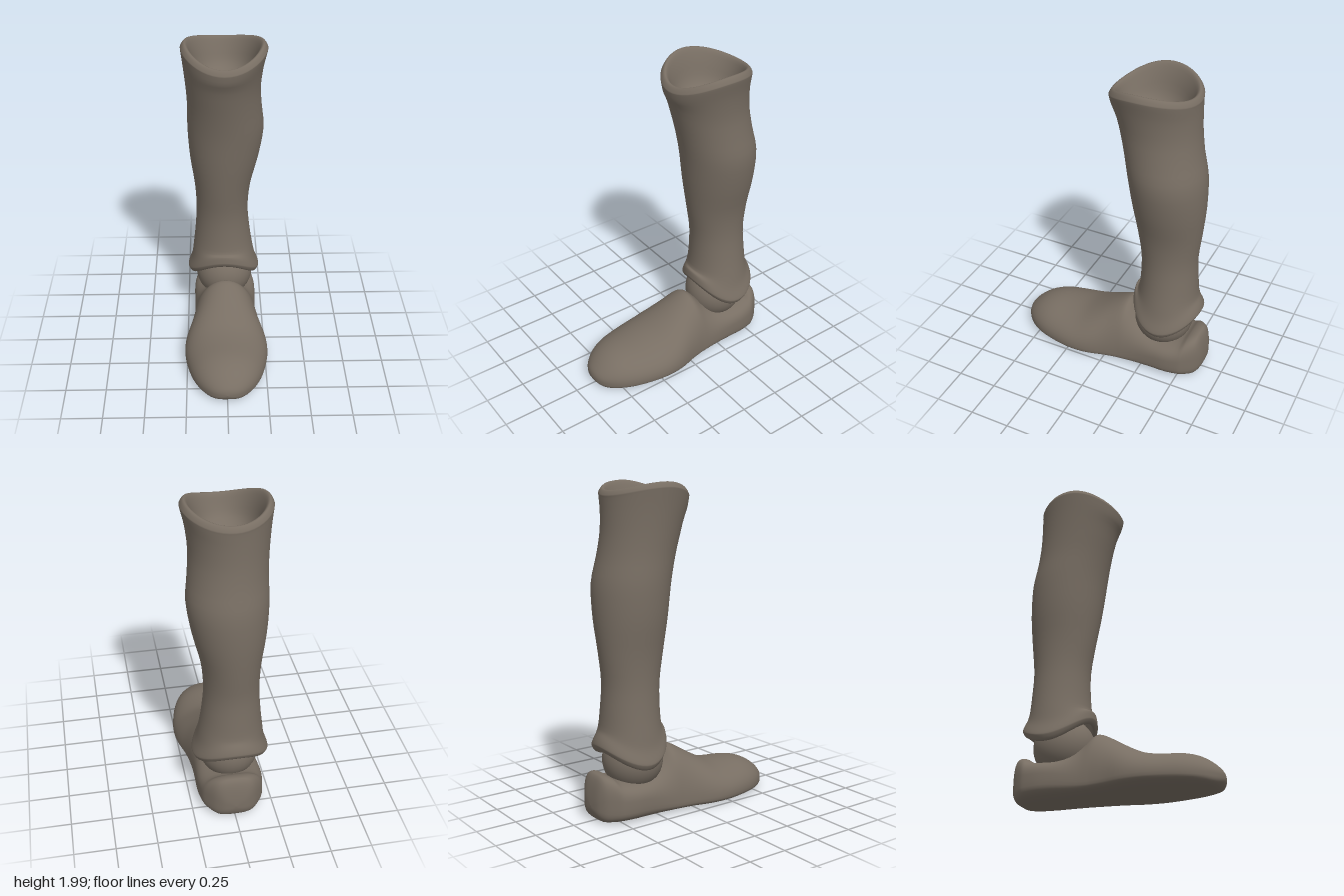
import * as THREE from 'three';

const { smoothstep, clamp } = THREE.MathUtils;

// Smoothly resample a table of cross-section rows
function resample(rows, steps) {
  const out = [];
  for (let i = 0; i < rows.length - 1; i++) {
    const p0 = rows[Math.max(i - 1, 0)], p1 = rows[i], p2 = rows[i + 1], p3 = rows[Math.min(i + 2, rows.length - 1)];
    for (let s = 0; s < steps; s++) {
      const t = s / steps;
      out.push(p1.map((v, k) => 0.5 * (2 * v + (p2[k] - p0[k]) * t
        + (2 * p0[k] - 5 * v + 4 * p2[k] - p3[k]) * t * t
        + (3 * v - p0[k] - 3 * p2[k] + p3[k]) * t * t * t)));
    }
  }
  out.push(rows[rows.length - 1]);
  return out;
}

// Skin closed rings into one smooth surface
function loft(rows, sides, point) {
  const pos = [], idx = [];
  rows.forEach((row, i) => {
    for (let j = 0; j < sides; j++) {
      pos.push(...point(row, (j / sides) * Math.PI * 2));
      if (i === rows.length - 1) continue;
      const a = i * sides + j, b = i * sides + (j + 1) % sides;
      idx.push(a, b, a + sides, b, b + sides, a + sides);
    }
  });
  const geo = new THREE.BufferGeometry();
  geo.setAttribute('position', new THREE.Float32BufferAttribute(pos, 3));
  geo.setIndex(idx);
  geo.computeVertexNormals();
  return geo;
}

// Rolled rim and hollow cup that continue an end ring inwards
function cup([y, xr, xl, zf, zb], direction) {
  const profile = [[1, 0.02], [0.93, 0.046], [0.85, 0.035], [0.75, -0.03], [0.62, -0.14], [0.38, -0.2], [0, -0.22]];
  const cx = (xr + xl) / 2, cz = (zf + zb) / 2;
  return profile.map(([k, rise]) => [
    y + rise * direction,
    cx + (xr - cx) * k, cx + (xl - cx) * k,
    cz + (zf - cz) * k, cz + (zb - cz) * k,
  ]);
}

export function createModel() {
  const group = new THREE.Group();
  const clay = new THREE.MeshStandardMaterial({ color: 0x786e63 });
  clay.name = 'warm grey brown';
  const add = (name, geo) => {
    const mesh = new THREE.Mesh(geo, clay);
    mesh.name = name;
    group.add(mesh);
    return mesh;
  };

  // Shin wall from knee to ankle: y, x right, x left, z front, z back
  const wall = [
    [1.94, -0.262, 0.25, 0.024, -0.505],
    [1.84, -0.25, 0.228, 0.008, -0.505],
    [1.70, -0.237, 0.215, -0.03, -0.51],
    [1.56, -0.23, 0.225, -0.065, -0.53],
    [1.40, -0.232, 0.24, -0.095, -0.563],
    [1.20, -0.22, 0.21, -0.12, -0.565],
    [1.00, -0.193, 0.163, -0.15, -0.548],
    [0.82, -0.184, 0.149, -0.178, -0.53],
    [0.66, -0.193, 0.162, -0.18, -0.537],
    [0.53, -0.207, 0.182, -0.168, -0.548],
    [0.44, -0.219, 0.2, -0.15, -0.562],
    [0.37, -0.242, 0.224, -0.142, -0.582],
  ];
  const shin = [...cup(wall[0], 1).reverse(), ...wall, ...cup(wall[wall.length - 1], -1)];
  add('shin', loft(resample(shin, 3), 48, ([y, xr, xl, zf, zb], a) => {
    const c = Math.cos(a), s = Math.sin(a);
    // The top rim dips and the bottom rim arches, both deepest at the front
    const dip = smoothstep(y, 1.74, 1.95), arch = 1 - smoothstep(y, 0.37, 0.58);
    const lift = s * s * (s > 0 ? arch * 0.14 - dip * 0.08 : arch * 0.1 - dip * 0.05);
    return [(xr + xl) / 2 + c * (xl - xr) / 2, y + lift, (zf + zb) / 2 + s * (zf - zb) / 2];
  }));

  // Ankle ball
  const ankle = add('ankle', new THREE.SphereGeometry(0.185, 32, 24));
  ankle.position.set(-0.005, 0.335, -0.335);

  // Foot from heel to toe: z, half width, top height
  const foot = [
    [-0.635, 0, 0.10],
    [-0.63, 0.06, 0.16],
    [-0.615, 0.10, 0.24],
    [-0.59, 0.135, 0.285],
    [-0.54, 0.175, 0.278],
    [-0.50, 0.192, 0.248],
    [-0.42, 0.205, 0.234],
    [-0.33, 0.204, 0.235],
    [-0.24, 0.201, 0.27],
    [-0.17, 0.202, 0.33],
    [-0.12, 0.206, 0.383],
    [-0.08, 0.211, 0.388],
    [0.00, 0.228, 0.345],
    [0.10, 0.256, 0.285],
    [0.20, 0.265, 0.237],
    [0.30, 0.255, 0.218],
    [0.42, 0.226, 0.21],
    [0.50, 0.192, 0.19],
    [0.56, 0.15, 0.158],
    [0.605, 0.10, 0.12],
    [0.628, 0.05, 0.09],
    [0.635, 0, 0.06],
  ];
  add('foot', loft(resample(foot, 3), 48, ([z, w, top], a) => {
    const c = Math.cos(a), s = Math.sin(a);
    // The heel is boxier with a higher widest point; the sole curls up at both ends
    const heel = smoothstep(-z, 0.1, 0.4);
    const mid = 0.06 + 0.04 * heel;
    const curl = clamp(1 - (0.635 - Math.abs(z)) / 0.06, 0, 1);
    const depth = mid * Math.sqrt(1 - curl * curl);
    const e = s > 0 ? 1 - 0.38 * heel : 0.6;
    const bend = (v) => Math.sign(v) * Math.pow(Math.abs(v), e);
    return [w * bend(c), mid + bend(s) * (s > 0 ? top - mid : depth), z];
  }));

  return group;
}
